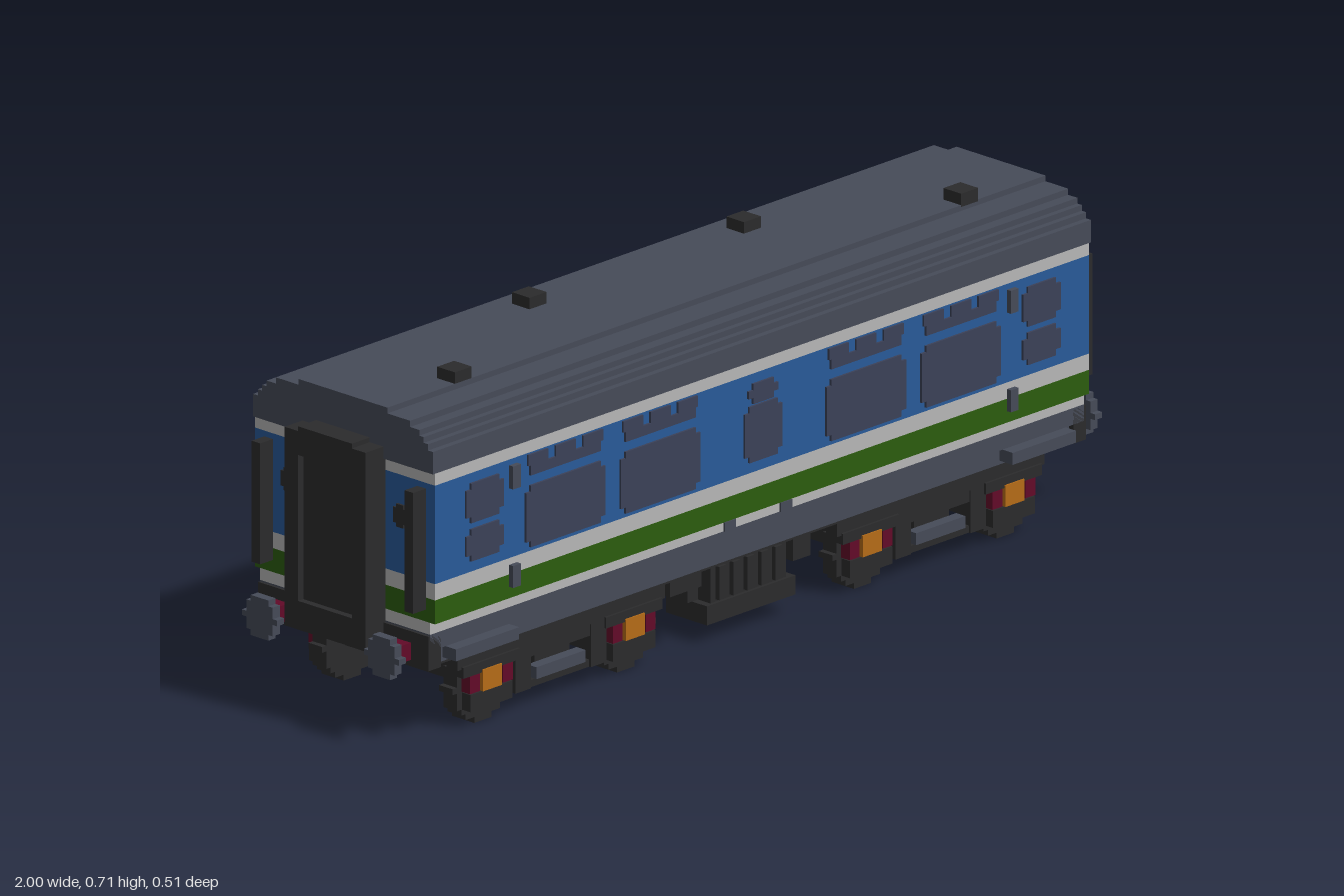
import * as THREE from 'three';

const mat = (name, color) => Object.assign(new THREE.MeshStandardMaterial({ color }), { name });
const M = {
  slate: mat('slate grey', 0x464b58),
  dark: mat('charcoal', 0x2b2b2c),
  blue: mat('blue', 0x285a98),
  white: mat('pale grey', 0xb6b6b6),
  green: mat('green', 0x2c5c0e),
  glass: mat('window glass', 0x3b4158),
  red: mat('dark red', 0x620a28),
  orange: mat('orange', 0xb56c18),
};

function add(parent, name, geo, m, x = 0, y = 0, z = 0) {
  const mesh = new THREE.Mesh(geo, m);
  mesh.name = name;
  mesh.position.set(x, y, z);
  parent.add(mesh);
  return mesh;
}

// box given by its lower and upper limits on each axis
function box(parent, name, m, [x0, x1], [y0, y1], [z0, z1]) {
  return add(parent, name, new THREE.BoxGeometry(x1 - x0, y1 - y0, z1 - z0), m,
    (x0 + x1) / 2, (y0 + y1) / 2, (z0 + z1) / 2);
}

// box mirrored to both sides (z) of the coach
function pair(parent, name, m, xs, ys, [z0, z1]) {
  box(parent, name, m, xs, ys, [z0, z1]);
  box(parent, name, m, xs, ys, [-z1, -z0]);
}

// stepped disc, centred, with its axis along z
function discGeo(r, depth, rows) {
  const step = (2 * r) / rows, right = [];
  for (let i = 0; i < rows; i++) {
    const y = -r + (i + 0.5) * step;
    const w = Math.max(1, Math.round(Math.sqrt(r * r - y * y) / step)) * step;
    right.push([w, -r + i * step], [w, -r + (i + 1) * step]);
  }
  const pts = [...right, ...right.slice().reverse().map(([x, y]) => [-x, y])];
  const geo = new THREE.ExtrudeGeometry(new THREE.Shape(pts.map(p => new THREE.Vector2(...p))),
    { depth, bevelEnabled: false });
  return geo.translate(0, 0, -depth / 2);
}

// thin pane with notched corners
function paneGeo(w, h, n = 0.013) {
  const a = w / 2, b = h / 2;
  const pts = [[-a + n, -b], [a - n, -b], [a - n, -b + n], [a, -b + n], [a, b - n], [a - n, b - n],
    [a - n, b], [-a + n, b], [-a + n, b - n], [-a, b - n], [-a, -b + n], [-a + n, -b + n]];
  return new THREE.ExtrudeGeometry(new THREE.Shape(pts.map(p => new THREE.Vector2(...p))),
    { depth: 0.005, bevelEnabled: false });
}

// coloured body bands and the stepped roof
function buildShell(root) {
  const g = new THREE.Group();
  g.name = 'body';
  const layers = [
    ['soleBar', 'slate', 0.165, 0.2, 0.22, 0.915],
    ['lowerSkirt', 'slate', 0.2, 0.235, 0.232, 0.93],
    ['lowerStripe', 'white', 0.235, 0.26, 0.232, 0.93],
    ['greenStripe', 'green', 0.26, 0.31, 0.245, 0.93],
    ['middleStripe', 'white', 0.31, 0.344, 0.245, 0.93],
    ['bluePanel', 'blue', 0.344, 0.55, 0.245, 0.93],
    ['upperStripe', 'white', 0.55, 0.575, 0.245, 0.93],
    ['roof', 'slate', 0.575, 0.622, 0.245, 0.936],
    ['roof', 'slate', 0.622, 0.635, 0.232, 0.936],
    ['roof', 'slate', 0.635, 0.647, 0.22, 0.936],
    ['roof', 'slate', 0.647, 0.659, 0.208, 0.936],
    ['roof', 'slate', 0.659, 0.672, 0.183, 0.936],
    ['roof', 'slate', 0.672, 0.684, 0.121, 0.936],
  ];
  for (const [name, m, y0, y1, z, x] of layers) box(g, name, M[m], [-x, x], [y0, y1], [-z, z]);
  for (const [x, z] of [[-0.72, 0.097], [-0.305, -0.097], [0.305, -0.097], [0.72, 0.097]])
    box(g, 'roofVent', M.dark, [x - 0.024, x + 0.024], [0.68, 0.708], [z - 0.024, z + 0.024]);
  root.add(g);
}

// windows, grab handles and steps of one long side, facing +z
function buildSide() {
  const g = new THREE.Group();
  g.name = 'sideDetails';
  const z = 0.245;
  const pane = (name, x0, x1, y0, y1, n) =>
    add(g, name, paneGeo(x1 - x0, y1 - y0, n), M.glass, (x0 + x1) / 2, (y0 + y1) / 2, z);
  for (const c of [-0.5625, -0.2925, 0.2925, 0.5625]) {
    pane('largeWindow', c - 0.113, c + 0.113, 0.353, 0.482);
    box(g, 'ventWindow', M.glass, [c - 0.1, c + 0.1], [0.503, 0.524], [z, z + 0.005]);
    for (const [a, b] of [[-0.106, -0.05], [-0.028, 0.028], [0.05, 0.106]])
      box(g, 'ventWindow', M.glass, [c + a, c + b], [0.524, 0.547], [z, z + 0.005]);
  }
  for (const s of [-1, 1]) {
    const c = s * 0.792;
    pane('doorWindowTop', c - 0.053, c + 0.053, 0.447, 0.53);
    pane('doorWindowBottom', c - 0.053, c + 0.053, 0.367, 0.434);
    const h = s * 0.708;
    box(g, 'upperHandle', M.slate, [h - 0.011, h + 0.011], [0.49, 0.538], [z, 0.256]);
    box(g, 'lowerHandle', M.slate, [h - 0.011, h + 0.011], [0.284, 0.33], [z, 0.256]);
    box(g, 'doorStep', M.slate, [c - 0.09, c + 0.09], [0.173, 0.198], [0.218, 0.256]);
    box(g, 'skirtNotch', M.slate, [s * 0.08 - 0.016, s * 0.08 + 0.016], [0.235, 0.254], [0.23, 0.236]);
  }
  pane('centreWindowTop', -0.042, 0.042, 0.488, 0.53);
  pane('centreWindow', -0.053, 0.053, 0.367, 0.484);
  return g;
}

// gangway, handrails and buffers of one end, facing +x
function buildEnd() {
  const g = new THREE.Group();
  g.name = 'coachEnd';
  pair(g, 'gangwayPost', M.dark, [0.92, 0.987], [0.185, 0.6], [0.073, 0.11]);
  box(g, 'gangwayTop', M.dark, [0.92, 0.987], [0.55, 0.6], [-0.073, 0.073]);
  box(g, 'gangwayCap', M.dark, [0.92, 0.987], [0.6, 0.61], [-0.073, 0.073]);
  box(g, 'gangwaySill', M.dark, [0.92, 0.987], [0.185, 0.245], [-0.073, 0.073]);
  box(g, 'gangwayDoor', M.dark, [0.92, 0.972], [0.245, 0.55], [-0.073, 0.073]);
  box(g, 'underSill', M.blue, [0.92, 0.938], [0.172, 0.185], [-0.09, 0.09]);
  pair(g, 'handrail', M.dark, [0.925, 0.966], [0.285, 0.538], [0.197, 0.22]);
  pair(g, 'headstock', M.dark, [0.9, 0.935], [0.16, 0.232], [0.09, 0.232]);
  for (const s of [-1, 1]) {
    const w = add(g, 'endWindow', paneGeo(0.036, 0.048, 0.008), M.dark, 0.93, 0.465, s * 0.153);
    w.rotation.y = Math.PI / 2;
    box(g, 'bufferStem', M.red, [0.93, 0.982], [0.172, 0.208], [s * 0.166 - 0.018, s * 0.166 + 0.018]);
    const d = add(g, 'bufferHead', discGeo(0.042, 0.02, 7), M.slate, 0.99, 0.19, s * 0.166);
    d.rotation.y = Math.PI / 2;
  }
  return g;
}

// four-wheeled bogie centred on its own origin
function buildBogie() {
  const g = new THREE.Group();
  g.name = 'bogie';
  pair(g, 'sideFrame', M.dark, [-0.295, 0.295], [0.13, 0.165], [0.185, 0.215]);
  pair(g, 'lowerBeam', M.dark, [-0.1, 0.1], [0.105, 0.13], [0.185, 0.212]);
  pair(g, 'springPlank', M.slate, [-0.07, 0.07], [0.055, 0.08], [0.19, 0.215]);
  pair(g, 'tieBar', M.dark, [-0.12, 0.12], [0.04, 0.055], [0.185, 0.21]);
  box(g, 'bolster', M.dark, [-0.05, 0.05], [0.075, 0.135], [-0.19, 0.19]);
  for (const s of [-1, 1]) {
    const x = s * 0.203;
    box(g, 'axle', M.dark, [x - 0.02, x + 0.02], [0.073, 0.113], [-0.2, 0.2]);
    box(g, 'brakeBeam', M.dark, [s * 0.1 - 0.015, s * 0.1 + 0.015], [0.073, 0.105], [-0.19, 0.19]);
    pair(g, 'springHanger', M.dark, [s * 0.107 - 0.022, s * 0.107 + 0.022], [0.04, 0.135], [0.19, 0.215]);
    for (const t of [-1, 1]) {
      add(g, 'wheel', discGeo(0.08, 0.037, 13), M.dark, x, 0.08, t * 0.178);
      pair(g, 'axleGuard', M.red, [x + t * 0.047 - 0.014, x + t * 0.047 + 0.014], [0.075, 0.112], [0.195, 0.22]);
    }
    pair(g, 'axleMount', M.dark, [x - 0.08, x + 0.08], [0.112, 0.135], [0.19, 0.22]);
    pair(g, 'axleFoot', M.dark, [x - 0.06, x + 0.06], [0.037, 0.073], [0.19, 0.22]);
    pair(g, 'axleBox', M.orange, [x - 0.027, x + 0.027], [0.073, 0.118], [0.195, 0.223]);
  }
  return g;
}

// equipment boxes hung under the middle of the floor
function buildUnderfloor(root) {
  const g = new THREE.Group();
  g.name = 'underfloor';
  box(g, 'floor', M.dark, [-0.912, 0.912], [0.158, 0.17], [-0.215, 0.215]);
  pair(g, 'equipmentBox', M.dark, [-0.105, 0.11], [0.075, 0.16], [0.1, 0.205]);
  pair(g, 'equipmentTray', M.dark, [-0.122, 0.13], [0.04, 0.08], [0.1, 0.212]);
  for (let i = 0; i < 5; i++)
    pair(g, 'equipmentRib', M.dark, [-0.09 + i * 0.04, -0.07 + i * 0.04], [0.085, 0.155], [0.2, 0.215]);
  pair(g, 'smallTank', M.dark, [-0.225, -0.135], [0.125, 0.16], [0.15, 0.21]);
  pair(g, 'tankBracket', M.dark, [-0.175, -0.145], [0.1, 0.13], [0.15, 0.21]);
  pair(g, 'pipeBox', M.dark, [0.125, 0.175], [0.11, 0.16], [0.16, 0.21]);
  root.add(g);
}

export function createModel() {
  const root = new THREE.Group();
  root.name = 'railwayCoach';
  buildShell(root);
  buildUnderfloor(root);
  for (const turn of [0, Math.PI]) {
    const side = buildSide(), end = buildEnd();
    side.rotation.y = end.rotation.y = turn;
    root.add(side, end);
  }
  for (const s of [-1, 1]) {
    const bogie = buildBogie();
    bogie.position.x = s * 0.54;
    root.add(bogie);
  }
  return root;
}
